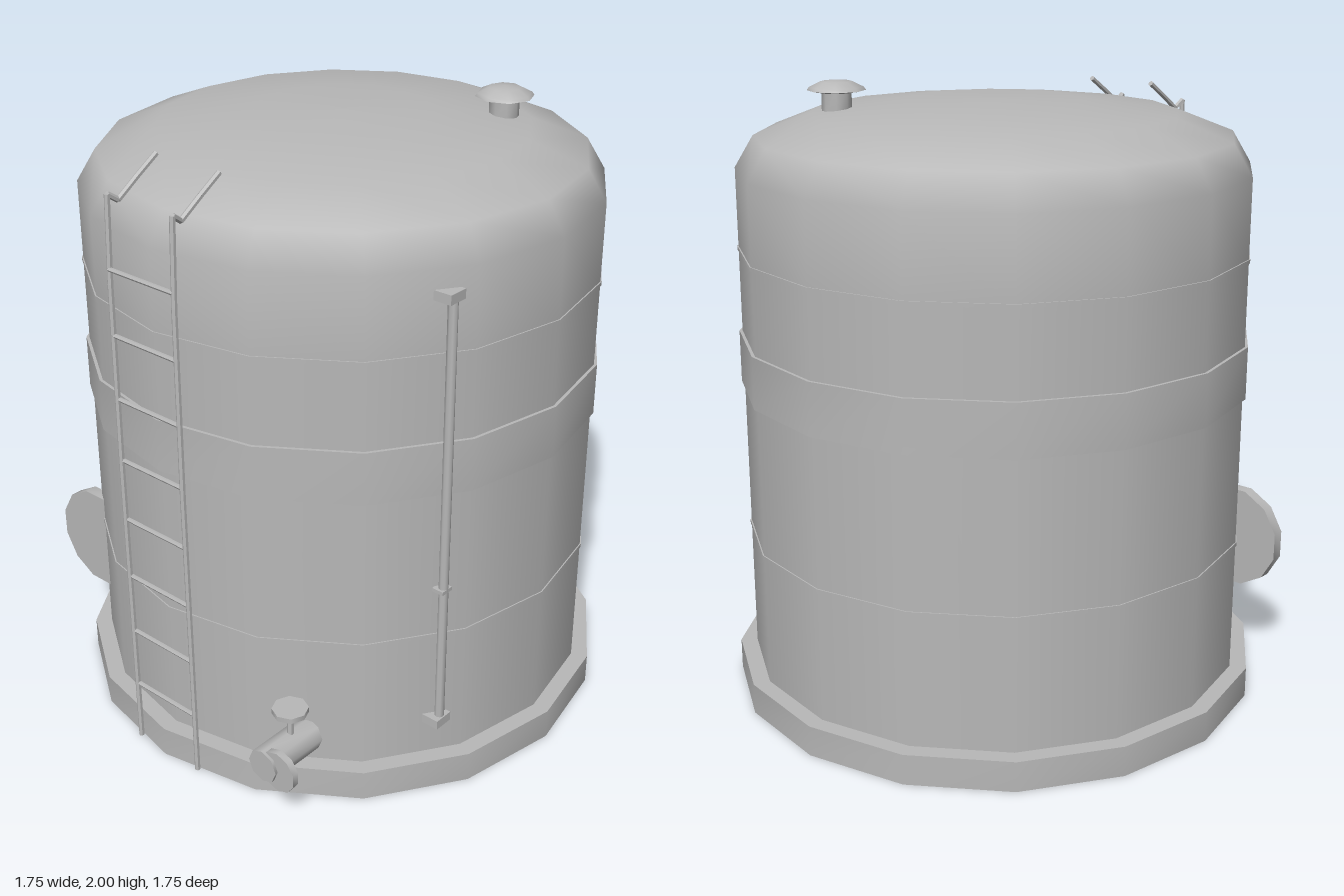
import * as THREE from 'three';
import { toCreasedNormals } from 'three/addons/utils/BufferGeometryUtils.js';

const SIDES = 16;

export function createModel() {
  const tank = new THREE.Group();
  tank.name = 'storageTank';
  const steel = new THREE.MeshStandardMaterial({ color: 0xb8b8b8 });
  steel.name = 'grey steel';

  const add = (name, geometry, x = 0, y = 0, z = 0, parent = tank) => {
    const mesh = new THREE.Mesh(geometry, steel);
    mesh.name = name;
    mesh.position.set(x, y, z);
    parent.add(mesh);
    return mesh;
  };
  const group = (name) => {
    const g = new THREE.Group();
    g.name = name;
    tank.add(g);
    return g;
  };
  const cylinder = (radius, height, sides = SIDES) =>
    toCreasedNormals(new THREE.CylinderGeometry(radius, radius, height, sides), 0.9);
  const lathe = (points, sides) =>
    new THREE.LatheGeometry(points.map(([r, y]) => new THREE.Vector2(r, y)), sides);
  // Straight bar between two points
  const bar = (name, a, b, radius, parent) => {
    const dir = b.clone().sub(a);
    const mesh = add(name, cylinder(radius, dir.length(), 6), 0, 0, 0, parent);
    mesh.position.copy(a).add(b).multiplyScalar(0.5);
    mesh.quaternion.setFromUnitVectors(new THREE.Vector3(0, 1, 0), dir.normalize());
  };

  // Base slab, wall with domed roof, and hoops
  add('base', cylinder(0.875, 0.1), 0, 0.05, 0);
  add('wall', lathe([[0.82, 0.08], [0.82, 1.47], [0.82, 1.73], [0.76, 1.83],
    [0.58, 1.9], [0.28, 1.935], [0, 1.94]], SIDES));
  add('wideBand', cylinder(0.83, 0.17), 0, 1.115, 0);
  for (const y of [0.537, 1.473]) add('hoop', cylinder(0.824, 0.012), 0, y, 0);

  // Roof vent: neck and mushroom cap
  const vent = group('roofVent');
  vent.position.set(0.345, 0, -0.355);
  add('ventNeck', cylinder(0.047, 0.08, 8), 0, 1.935, 0, vent);
  add('ventCap', toCreasedNormals(
    lathe([[0, 1.96], [0.045, 1.96], [0.092, 1.968], [0.085, 1.978], [0.05, 1.995], [0, 2]], 8), 0.9), 0, 0, 0, vent);

  // Round access hatch, partly sunk into the wall
  const hatch = add('accessHatch', cylinder(0.175, 0.042, 12), -0.588, 0.445, 0.583);
  hatch.rotation.set(Math.PI / 2, Math.PI / 12, 0);

  // Ladder with rails bent over the roof edge
  const ladder = group('ladder');
  const railPath = [[0, 0.858], [1, 0.86], [1.6, 0.855], [1.865, 0.845], [1.84, 0.81], [1.89, 0.735], [1.937, 0.66]];
  for (const side of [-1, 1]) {
    const curve = new THREE.CurvePath();
    const points = railPath.map(([y, z], i) => new THREE.Vector3(side * (i > 3 ? 0.125 : 0.13), y, z));
    for (let i = 1; i < points.length; i++) curve.add(new THREE.LineCurve3(points[i - 1], points[i]));
    for (const c of curve.curves) bar('rail', c.v1, c.v2, 0.009, ladder);
  }
  for (let i = 0; i < 8; i++) {
    const y = 0.21 + i * 0.205;
    bar('rung', new THREE.Vector3(-0.13, y, 0.857), new THREE.Vector3(0.13, y, 0.857), 0.007, ladder);
  }

  // Level gauge: upright tube held by two brackets and a small clip
  const gauge = group('levelGauge');
  add('gaugeTube', cylinder(0.015, 1.43, 8), 0.728, 0.942, 0.388, gauge);
  for (const y of [0.23, 1.655])
    add('gaugeBracket', new THREE.BoxGeometry(0.065, 0.03, 0.066), 0.713, y, 0.388, gauge);
  add('gaugeClip', new THREE.BoxGeometry(0.04, 0.012, 0.044), 0.722, 0.707, 0.388, gauge);

  // Outlet valve: pipe, flange, stem and handwheel
  const valve = group('outletValve');
  add('outletPipe', cylinder(0.055, 0.21, 8), 0.435, 0.19, 0.77, valve).rotation.x = Math.PI / 2;
  add('outletFlange', cylinder(0.069, 0.022, 10), 0.487, 0.19, 0.855, valve).rotation.x = Math.PI / 2;
  add('valveStem', cylinder(0.011, 0.12, 6), 0.437, 0.27, 0.75, valve);
  add('handwheel', cylinder(0.057, 0.017, 8), 0.437, 0.328, 0.75, valve);
  return tank;
}
